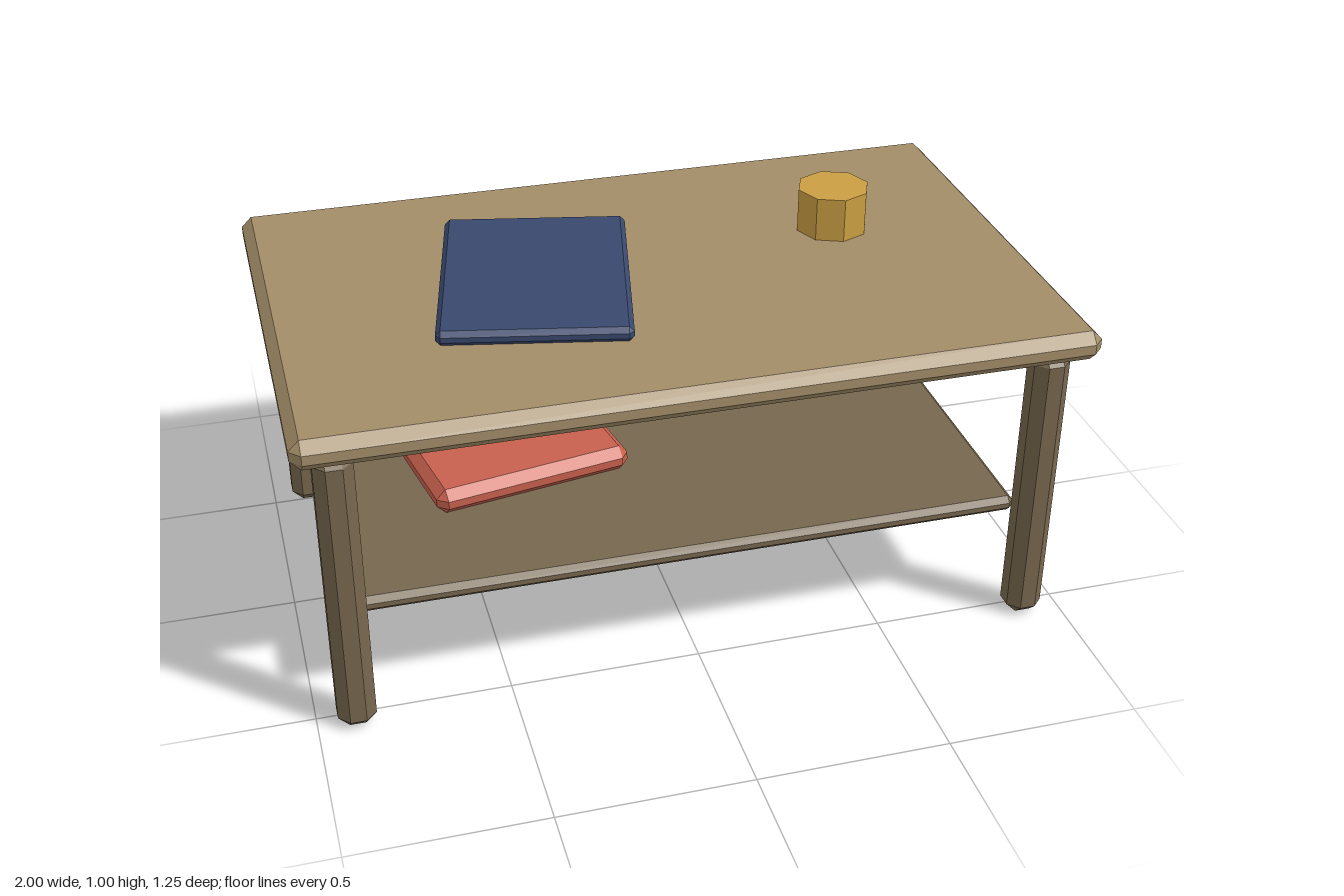
import * as THREE from 'three';
import { ConvexGeometry } from 'three/addons/geometries/ConvexGeometry.js';

const paint = (color) => new THREE.MeshStandardMaterial({ color, flatShading: true });

// Box with every edge cut by a flat chamfer c, standing on y = 0
function chamferBox(w, h, d, c) {
  const points = [];
  for (const sx of [-1, 1]) for (const sy of [-1, 1]) for (const sz of [-1, 1]) {
    for (const axis of [0, 1, 2]) {
      const inset = [c, c, c];
      inset[axis] = 0;
      points.push(new THREE.Vector3(
        sx * (w / 2 - inset[0]),
        sy * (h / 2 - inset[1]) + h / 2,
        sz * (d / 2 - inset[2])));
    }
  }
  return new ConvexGeometry(points);
}

export function createModel() {
  const model = new THREE.Group();
  model.name = 'coffeeTable';

  const add = (name, geometry, material, x, y, z, turn = 0) => {
    const mesh = new THREE.Mesh(geometry, material);
    mesh.name = name;
    mesh.position.set(x, y, z);
    mesh.rotation.y = turn;
    model.add(mesh);
  };

  const lightWood = paint(0xa38d69);
  const darkWood = paint(0x77674e);

  // Table frame
  add('tableTop', chamferBox(2, 0.08, 1.245, 0.027), lightWood, 0, 0.8, 0);
  add('shelf', chamferBox(1.74, 0.044, 0.98, 0.015), darkWood, 0, 0.29, 0);

  // Four legs
  const leg = chamferBox(0.097, 0.8, 0.097, 0.028);
  for (const [side, sx] of [['Left', 1], ['Right', -1]]) {
    for (const [end, sz] of [['front', 1], ['back', -1]]) {
      add(`${end}${side}Leg`, leg, darkWood, sx * 0.9, 0, sz * 0.525);
    }
  }

  // Things lying on the table and the shelf
  add('blueBook', chamferBox(0.485, 0.04, 0.645, 0.013), paint(0x38486d), -0.302, 0.88, -0.003, -0.212);
  add('redBook', chamferBox(0.545, 0.072, 0.4, 0.025), paint(0xc7604d), -0.38, 0.333, -0.05, 0.18);
  add('cup', new THREE.CylinderGeometry(0.098, 0.098, 0.12, 8), paint(0xcb9f43), 0.548, 0.94, -0.127);

  return model;
}
